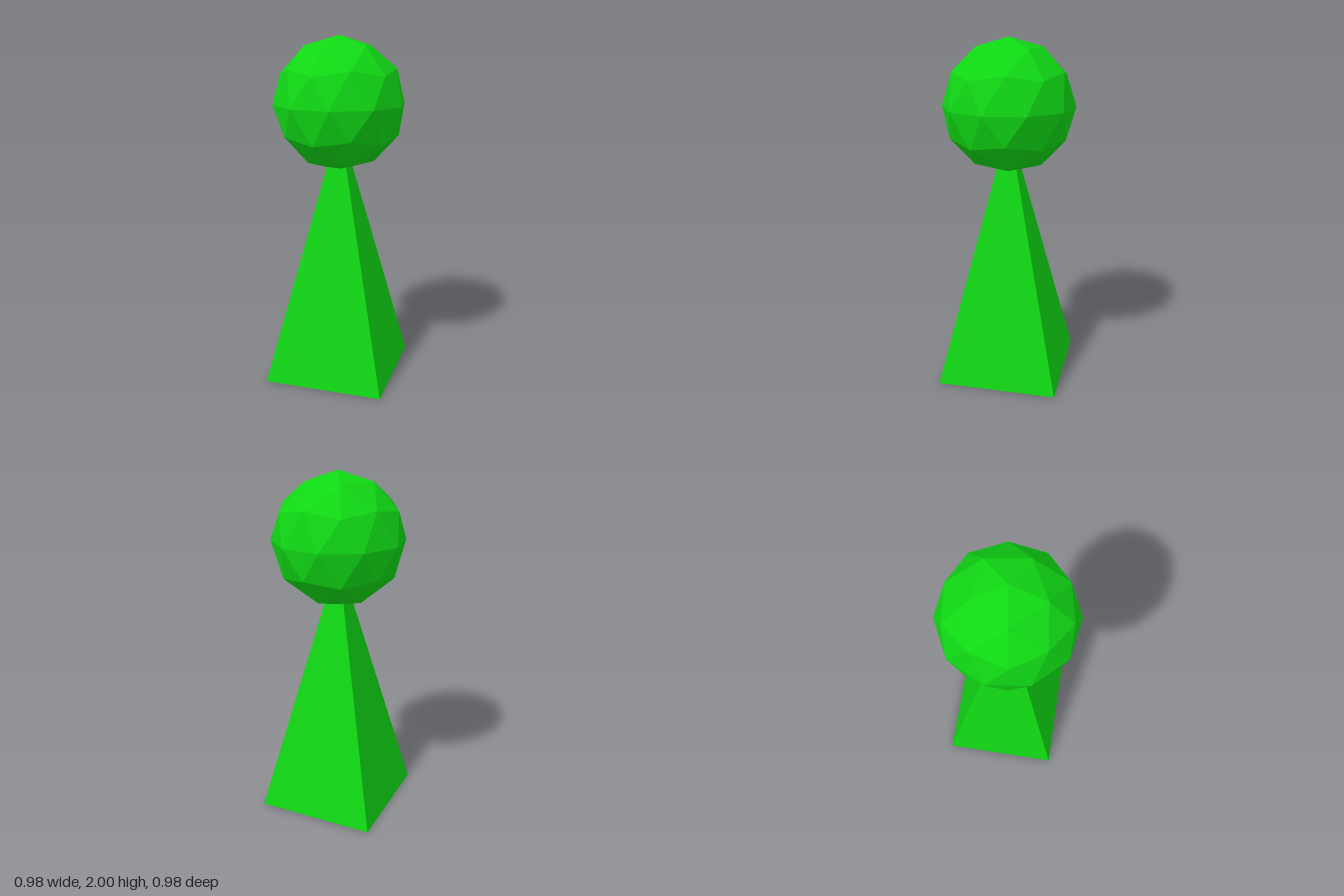
import * as THREE from 'three';

export function createModel() {
  const model = new THREE.Group();
  const material = new THREE.MeshStandardMaterial({ color: 0x10d814, flatShading: true });

  const add = (name, geometry) => {
    const mesh = new THREE.Mesh(geometry, material);
    mesh.name = name;
    model.add(mesh);
  };

  // Four-sided pyramid body with its corners on the x and z axes
  const height = 1.52;
  add('body', new THREE.ConeGeometry(0.49, height, 4).translate(0, height / 2, 0));

  // Faceted ball head, tilted so one five-sided corner points straight up
  const golden = (1 + Math.sqrt(5)) / 2;
  add('head', new THREE.IcosahedronGeometry(0.38, 1)
    .rotateZ(-Math.atan(1 / golden))
    .translate(0, 1.62, 0));

  return model;
}
